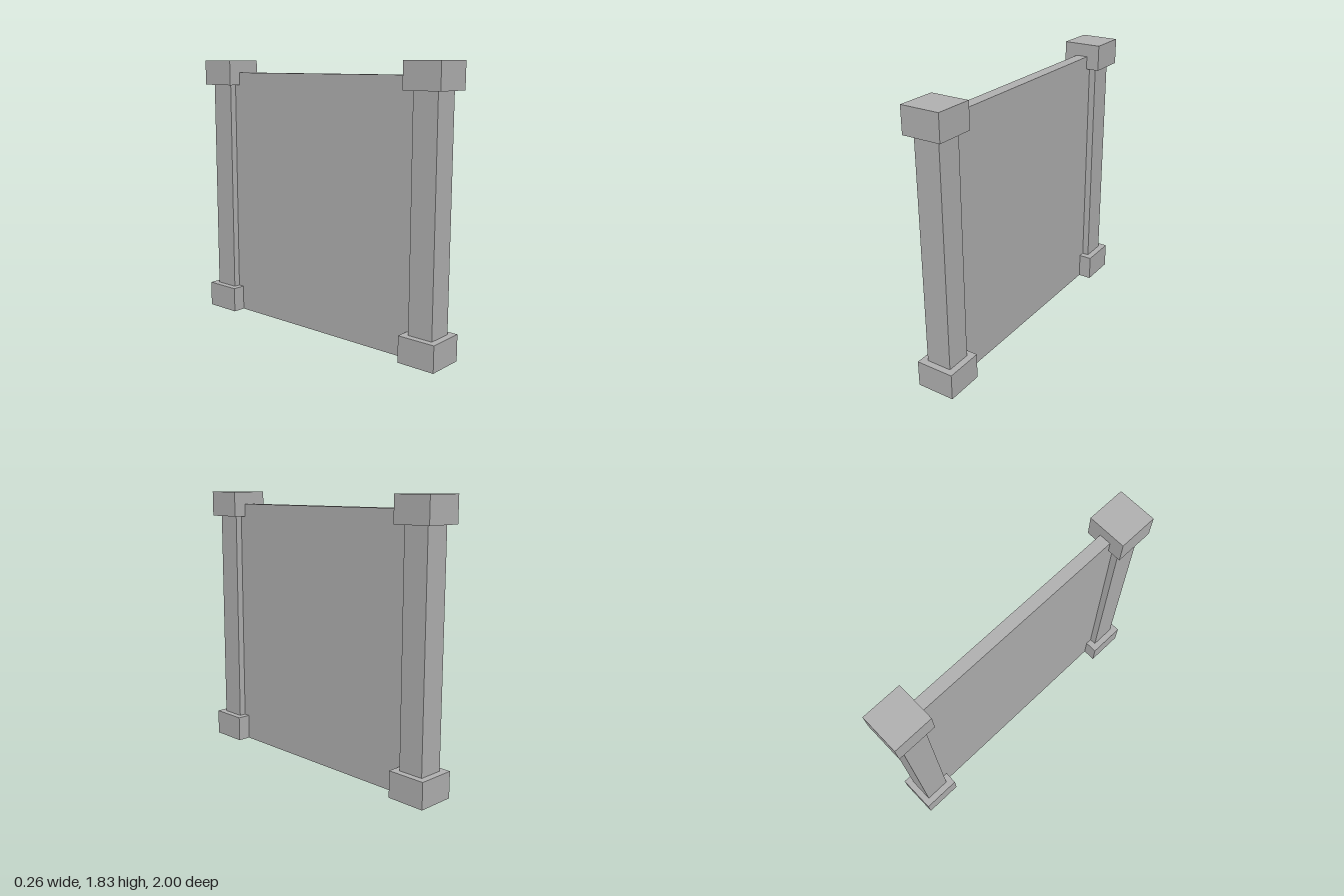
import * as THREE from 'three';

export function createModel() {
  const group = new THREE.Group();
  const grey = new THREE.MeshStandardMaterial({ color: 0xb2b2b2 });
  grey.name = 'stone grey';

  // Box given by its size, bottom height and z centre
  const block = (name, w, h, d, bottom, z) => {
    const mesh = new THREE.Mesh(new THREE.BoxGeometry(w, h, d), grey);
    mesh.name = name;
    mesh.position.set(0, bottom + h / 2, z);
    group.add(mesh);
  };

  // Thin wall running between the post centres
  block('wallPanel', 0.08, 1.743, 1.74, 0, 0);

  // A post with a base and a cap at each end
  for (const [end, side] of [['front', 1], ['back', -1]]) {
    const z = side * 0.87;
    block(end + 'Post', 0.172, 1.5, 0.172, 0.165, z);
    block(end + 'Base', 0.26, 0.174, 0.26, 0, z);
    block(end + 'Cap', 0.26, 0.172, 0.26, 1.656, z);
  }
  return group;
}
